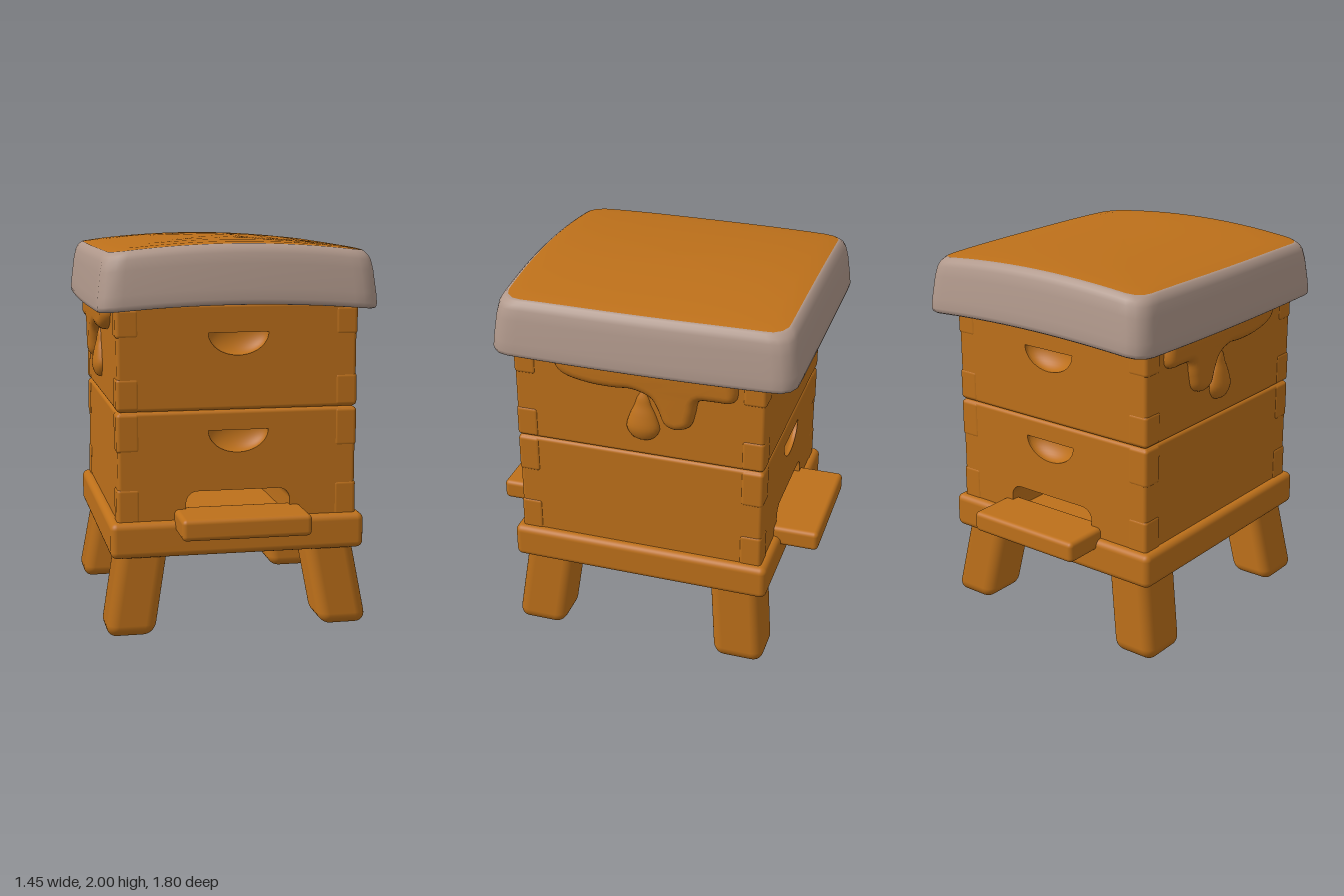
import * as THREE from 'three';
import { toCreasedNormals } from 'three/addons/utils/BufferGeometryUtils.js';
import { RoundedBoxGeometry } from 'three/addons/geometries/RoundedBoxGeometry.js';

const honey = new THREE.MeshStandardMaterial({ color: 0xbd701a, side: THREE.DoubleSide });
honey.name = 'honey wood';
const grey = new THREE.MeshStandardMaterial({ color: 0xb0988b });
grey.name = 'grey rim';

function add(parent, name, geometry, material = honey) {
  const mesh = new THREE.Mesh(geometry, material);
  mesh.name = name;
  parent.add(mesh);
  return mesh;
}

// Rounded rectangle drawn counter-clockwise into a Shape or Path
function roundRect(path, x0, y0, x1, y1, r) {
  path.moveTo(x0 + r, y0);
  path.lineTo(x1 - r, y0);
  path.absarc(x1 - r, y0 + r, r, -Math.PI / 2, 0);
  path.lineTo(x1, y1 - r);
  path.absarc(x1 - r, y1 - r, r, 0, Math.PI / 2);
  path.lineTo(x0 + r, y1);
  path.absarc(x0 + r, y1 - r, r, Math.PI / 2, Math.PI);
  path.lineTo(x0, y0 + r);
  path.absarc(x0 + r, y0 + r, r, Math.PI, Math.PI * 1.5);
  return path;
}

function roundedBox(w, h, d, r, x, y, z) {
  return new RoundedBoxGeometry(w, h, d, 4, r).translate(x, y, z);
}

// One hive box: a pierced core, flush rounded beams and posts, scooped handles, corner joints
function hiveBox(name, y0, y1, handleY, beams, fingers, tunnel) {
  const box = new THREE.Group();
  box.name = name;
  const wide = 0.617, deep = 0.66, r = 0.02;
  const shape = new THREE.Shape([
    [r - wide, y0 + r], [wide - r, y0 + r], [wide - r, y1 - r], [r - wide, y1 - r],
  ].map(([x, y]) => new THREE.Vector2(x, y)));
  const handle = new THREE.Path();
  handle.absellipse(0, handleY, 0.155, 0.115, Math.PI, Math.PI * 2);
  shape.holes.push(handle);
  if (tunnel) shape.holes.push(tunnel);
  const core = new THREE.ExtrudeGeometry(shape, { depth: 2 * deep, bevelEnabled: false, curveSegments: 12 });
  add(box, 'piercedCore', toCreasedNormals(core.translate(0, 0, -deep), 0.6));
  for (const [b0, b1] of beams)
    add(box, 'beam', roundedBox(2 * wide, b1 - b0, 2 * deep, r, 0, (b0 + b1) / 2, 0));
  for (const sx of [1, -1])
    add(box, 'sideWall', roundedBox(wide - 0.3, y1 - y0, 2 * deep, r, sx * (wide + 0.3) / 2, (y0 + y1) / 2, 0));
  for (const s of [1, -1]) {
    const scoop = new THREE.SphereGeometry(1, 24, 10, s > 0 ? Math.PI : 0, Math.PI, Math.PI / 2, Math.PI / 2);
    add(box, 'handleScoop', scoop.scale(0.157, 0.117, 0.08).translate(0, handleY, s * (deep - 0.004)));
  }
  for (const [f0, f1] of fingers)
    for (const sx of [1, -1])
      for (const sz of [1, -1])
        add(box, 'fingerJoint', roundedBox(0.12, f1 - f0, 0.12, r, sx * 0.562, (f0 + f1) / 2, sz * 0.603));
  return box;
}

// Crowned roof lofted from scaled copies of a rounded rectangle
function roofGeometry() {
  const outline = roundRect(new THREE.Shape(), -0.725, -0.8, 0.725, 0.8, 0.09).getSpacedPoints(120).slice(0, -1);
  const rings = [
    [0, 1.67], [0.92, 1.67], [0.955, 1.657], [0.98, 1.652], [0.995, 1.66], [1, 1.68],
    [0.995, 1.73], [0.975, 1.85], [0.96, 1.9], [0.945, 1.922], [0.925, 1.936], [0.91, 1.942],
    [0.8, 1.945], [0.6, 1.945], [0.4, 1.945], [0.2, 1.945], [0, 1.945],
  ];
  const n = outline.length;
  const pos = [], index = [];
  for (const [s, y] of rings)
    for (const p of outline) {
      const x = p.x * s * (1 - 0.025 * (p.y / 0.8) ** 2 + 0.008 * p.y);
      const z = p.y * s * (1 - 0.02 * (p.x / 0.725) ** 2);
      const rise = (y - 1.65) / 0.295;
      const arch = (0.038 + 0.017 * rise) * (1 - (x / 0.725) ** 2);
      pos.push(x, y + arch - 0.012 * rise * (z / 0.8) ** 4, z - 0.032);
    }
  for (let i = 0; i < rings.length - 1; i++)
    for (let j = 0; j < n; j++) {
      const a = i * n + j, c = i * n + (j + 1) % n;
      index.push(a, a + n, c, a + n, c + n, c);
    }
  const g = new THREE.BufferGeometry();
  g.setAttribute('position', new THREE.Float32BufferAttribute(pos, 3));
  g.setIndex(index);
  g.computeVertexNormals();
  // Honey underside, grey rim, honey top
  for (const [from, to, material] of [[0, 2, 1], [2, 11, 0], [11, rings.length - 1, 1]])
    g.addGroup(from * n * 6, (to - from) * n * 6, material);
  return g;
}

// Honey running down one side wall (side is +1 or -1)
function honeyDrip(side) {
  const drip = new THREE.Group();
  drip.name = side > 0 ? 'leftHoneyDrip' : 'rightHoneyDrip';
  const edge = [
    [-0.42, 1.70], [-0.435, 1.62], [-0.38, 1.56], [-0.25, 1.53], [-0.12, 1.525], [-0.02, 1.53],
    [0.07, 1.5], [0.11, 1.44], [0.145, 1.36], [0.21, 1.335], [0.28, 1.365], [0.305, 1.44],
    [0.325, 1.515], [0.4, 1.525], [0.49, 1.53], [0.52, 1.58], [0.50, 1.70],
  ].map(([u, y]) => new THREE.Vector2(u * side, y));
  const shape = new THREE.Shape(new THREE.SplineCurve(edge).getPoints(80));
  const run = new THREE.ExtrudeGeometry(shape, {
    depth: 0.02, bevelThickness: 0.05, bevelSize: 0.05, bevelOffset: -0.05, bevelSegments: 6,
  });
  run.rotateY(side * Math.PI / 2).translate(side * 0.597, 0, 0);
  add(drip, 'honeyRun', toCreasedNormals(run, 0.8));
  const profile = new THREE.SplineCurve([
    [0, 1.245], [0.055, 1.26], [0.088, 1.315], [0.07, 1.385], [0.045, 1.44], [0.03, 1.485], [0, 1.53],
  ].map(([r, y]) => new THREE.Vector2(r, y))).getPoints(24);
  profile.forEach((p) => { p.x = Math.max(p.x, 0); });
  add(drip, 'honeyDrop', new THREE.LatheGeometry(profile, 24).scale(0.55, 1, 1).translate(side * 0.615, 0, -0.03));
  return drip;
}

export function createModel() {
  const hive = new THREE.Group();
  hive.name = 'beehive';

  // Splayed legs
  for (const sx of [1, -1])
    for (const sz of [1, -1]) {
      const g = roundedBox(0.255, 0.5, 0.275, 0.06, sx * 0.49, 0.25, sz * 0.52);
      const p = g.attributes.position;
      for (let i = 0; i < p.count; i++) {
        const drop = 0.42 - p.getY(i);
        p.setX(i, p.getX(i) + sx * 0.175 * drop);
        p.setZ(i, p.getZ(i) + sz * 0.11 * drop);
      }
      add(hive, 'leg', g);
    }

  // Base and landing boards at both ends
  add(hive, 'base', roundedBox(1.32, 0.185, 1.4, 0.035, 0, 0.503, 0));
  for (const s of [1, -1])
    add(hive, 'landingBoard', roundedBox(0.66, 0.11, 0.3, 0.025, 0, 0.595, s * 0.75));

  // Stacked boxes, the lower one with an entrance tunnel
  const tunnel = roundRect(new THREE.Path(), -0.27, 0.5, 0.27, 0.74, 0.06);
  hive.add(hiveBox('lowerBox', 0.45, 1.152, 1.05, [[1.06, 1.152]], [[0.56, 0.765], [0.945, 1.148]], tunnel));
  hive.add(hiveBox('upperBox', 1.153, 1.69, 1.545, [[1.153, 1.4], [1.555, 1.69]], [[1.157, 1.325], [1.52, 1.67]]));

  // Honey and roof
  hive.add(honeyDrip(1), honeyDrip(-1));
  add(hive, 'roof', roofGeometry(), [grey, honey]);
  return hive;
}
